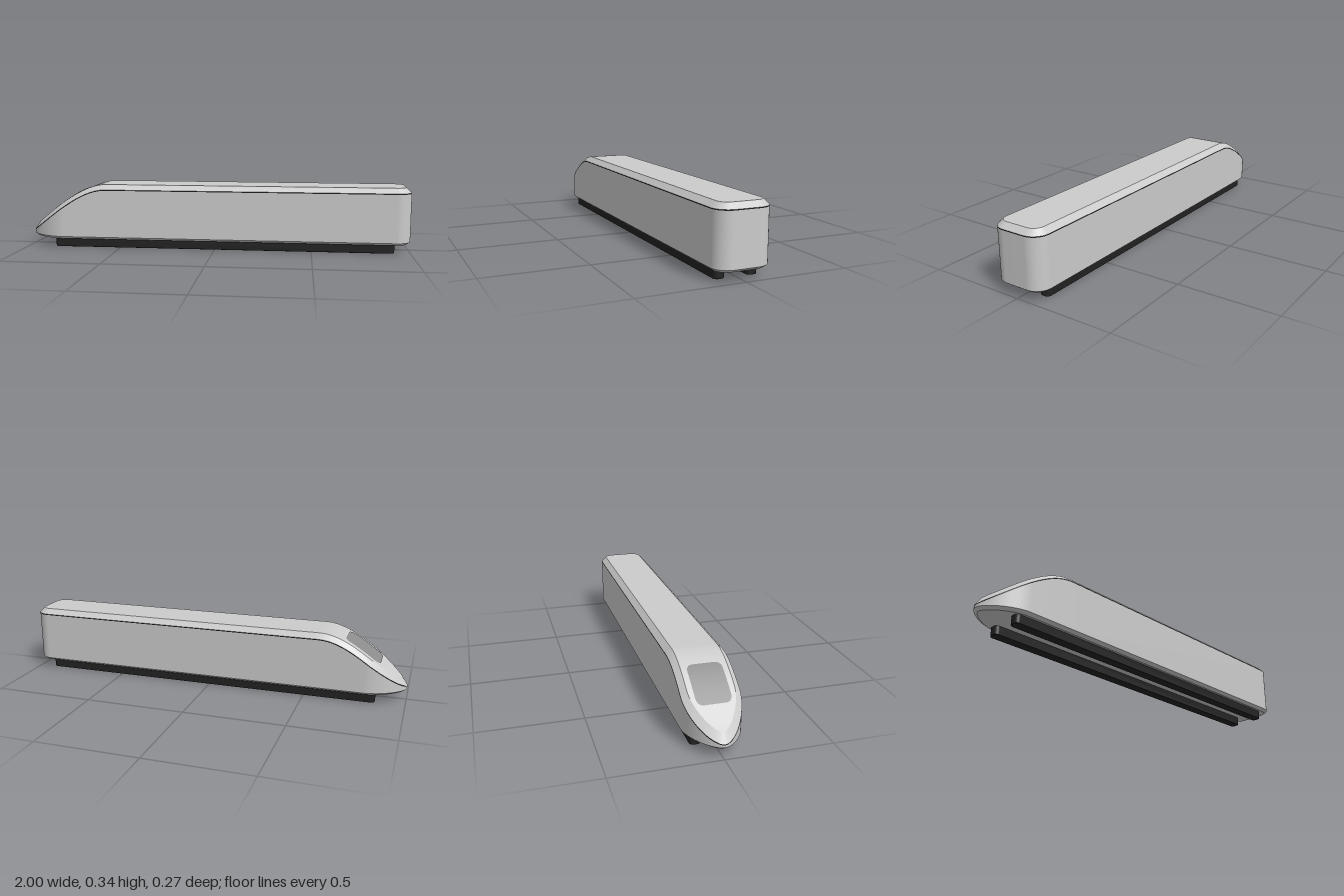
import * as THREE from 'three';

const HALF = 0.134, REAR = 0.075, INSET = 0.027, SEAM = 0.0045;

// Height of the shoulder line: rises along the nose, then runs level
function shoulder(x) {
  const x0 = -1, x1 = -0.57, y0 = 0.072, y1 = 0.307;
  const t = THREE.MathUtils.clamp((x - x0) / (x1 - x0), 0, 1);
  return y0 + (y1 - y0) * t * t * (3 - 2 * t) + 0.6 * (x1 - x0) * t * (1 - t) ** 2;
}
const roofY = (x) => shoulder(x) + 0.028;

// Half of the plan outline from nose tip to rear centre: position and outward normal
function halfOutline() {
  const pts = [];
  const nose = new THREE.CubicBezierCurve(
    new THREE.Vector2(-1, 0), new THREE.Vector2(-1, 0.05),
    new THREE.Vector2(-0.89, HALF), new THREE.Vector2(-0.8, HALF));
  for (let i = 0; i <= 20; i++) {
    const p = nose.getPoint(i / 20), d = nose.getTangent(i / 20);
    pts.push({ x: p.x, z: p.y, nx: -d.y, nz: d.x });
  }
  for (let i = 1; i <= 10; i++) pts.push({ x: -0.8 + 0.025 * i, z: HALF, nx: 0, nz: 1 });
  for (let i = 0; i <= 10; i++) {
    const a = (i / 10) * Math.PI / 2, nx = Math.sin(a), nz = Math.cos(a);
    pts.push({ x: 1 - REAR + REAR * nx, z: HALF - REAR + REAR * nz, nx, nz });
  }
  pts.push({ x: 1, z: 0, nx: 1, nz: 0 });
  return pts;
}
const outline = halfOutline();

// Half row of points, moved inwards, with height given by a function of x
const halfRow = (inset, height) => outline.map((p) => {
  const x = p.x - inset * p.nx;
  return [x, height(x), Math.max(0, p.z - inset * p.nz)];
});
const mirror = (row) => row.map(([x, y, z]) => [x, y, -z]);
const ring = (row) => [...row, ...mirror(row).reverse().slice(1, -1)];

// Smooth strip of quads between two rows
function strip(a, b, closed = false) {
  const n = a.length, index = [];
  for (let i = 0; i < (closed ? n : n - 1); i++) {
    const j = (i + 1) % n;
    index.push(i, j, n + j, i, n + j, n + i);
  }
  const g = new THREE.BufferGeometry();
  g.setAttribute('position', new THREE.Float32BufferAttribute([...a, ...b].flat(), 3));
  g.setIndex(index);
  g.computeVertexNormals();
  return g;
}

export function createModel() {
  const model = new THREE.Group();
  model.name = 'train';
  const grey = new THREE.MeshStandardMaterial({ color: 0xcccccc });
  const black = new THREE.MeshStandardMaterial({ color: 0x222222 });
  const glass = new THREE.MeshStandardMaterial({ color: 0x8c8c8c, side: THREE.DoubleSide });
  const add = (name, geometry, material) => {
    const mesh = new THREE.Mesh(geometry, material);
    mesh.name = name;
    model.add(mesh);
    return mesh;
  };

  // Body shell, from the floor up to the roof
  const floor = halfRow(0.017, () => 0.045);
  const sill = halfRow(0, () => 0.058);
  const wallTop = halfRow(0, (x) => shoulder(x) - SEAM / 2);
  const seamTop = halfRow(0, (x) => shoulder(x) + SEAM / 2);
  const roofEdge = halfRow(INSET, roofY);
  add('floor', strip(mirror(floor), floor), grey);
  add('lowerChamfer', strip(ring(floor), ring(sill), true), grey);
  add('sideWalls', strip(ring(sill), ring(wallTop), true), grey);
  add('seam', strip(ring(wallTop), ring(seamTop), true), black);
  add('roofChamfer', strip(ring(seamTop), ring(roofEdge), true), grey);
  add('roof', strip(roofEdge, mirror(roofEdge)), grey);

  // Windscreen with rounded corners, lying on the sloping nose
  const x0 = -0.868, x1 = -0.695, half = 0.081, r = 0.03;
  const pane = [];
  for (let i = 0; i <= 24; i++) {
    const x = x0 + (x1 - x0) * (1 - Math.cos(Math.PI * i / 24)) / 2;
    const d = Math.max(0, r - Math.min(x - x0, x1 - x));
    pane.push([x, roofY(x) + 0.003, half - r + Math.sqrt(Math.max(0, r * r - d * d))]);
  }
  add('windscreen', strip(pane, mirror(pane)), glass);

  // Pair of runners under the floor
  const bevel = 0.004, c = 0.016, hw = 0.0265 - bevel, hl = 0.8875 - bevel;
  const s = new THREE.Shape();
  s.moveTo(-hl + c, -hw);
  s.absarc(hl - c, -hw + c, c, -Math.PI / 2, 0);
  s.absarc(hl - c, hw - c, c, 0, Math.PI / 2);
  s.absarc(-hl + c, hw - c, c, Math.PI / 2, Math.PI);
  s.absarc(-hl + c, -hw + c, c, Math.PI, Math.PI * 1.5);
  const runner = new THREE.ExtrudeGeometry(s, {
    depth: 0.042, bevelSize: bevel, bevelThickness: bevel, bevelSegments: 2, curveSegments: 8,
  });
  runner.rotateX(-Math.PI / 2);
  for (const side of [1, -1]) {
    add(side > 0 ? 'frontRunner' : 'backRunner', runner, black)
      .position.set(0.0325, bevel, side * 0.079);
  }
  return model;
}
